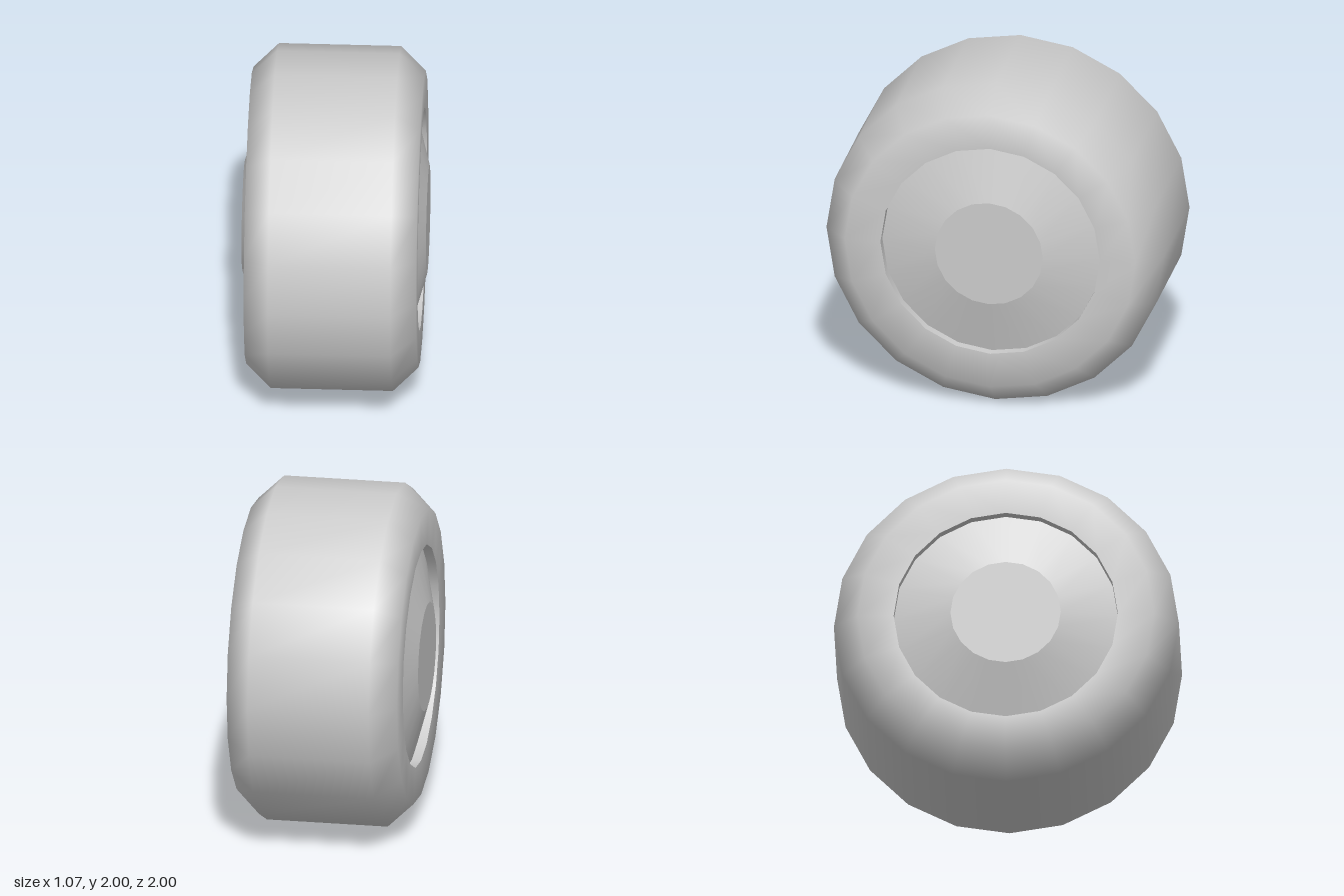
import * as THREE from 'three';

const SIDES = 20;
const material = new THREE.MeshStandardMaterial({ color: 0xcccccc });

// Turned surface from [radius, height] pairs, rising from the right face to the left one
function turned(name, profile) {
  const points = profile.map(([r, h]) => new THREE.Vector2(r, h));
  const mesh = new THREE.Mesh(new THREE.LatheGeometry(points, SIDES), material);
  mesh.name = name;
  return mesh;
}

export function createModel() {
  const wheel = new THREE.Group();
  wheel.name = 'wheel';

  // Tyre: flat tread, bevelled shoulders and side walls, shaded smoothly
  wheel.add(turned('tyre', [
    [0.65, -0.5], [0.86, -0.5], [1, -0.355], [1, 0.355], [0.86, 0.5], [0.65, 0.5],
  ]));

  // Each side: inner lip of the tyre, dished hub cone and flat centre cap
  for (const side of [1, -1]) {
    const face = new THREE.Group();
    face.name = side > 0 ? 'leftHub' : 'rightHub';
    face.add(
      turned('tyreLip', [[0.65, 0.5], [0.65, 0.445]]),
      turned('hubCone', [[0.65, 0.445], [0.32, 0.535]]),
      turned('hubCap', [[0.32, 0.535], [0, 0.535]]),
    );
    if (side < 0) face.rotation.x = Math.PI;
    wheel.add(face);
  }

  // Lay the axle along x and rest the tread on the ground
  wheel.rotation.z = -Math.PI / 2;
  wheel.position.y = 1;

  const model = new THREE.Group();
  model.add(wheel);
  return model;
}
